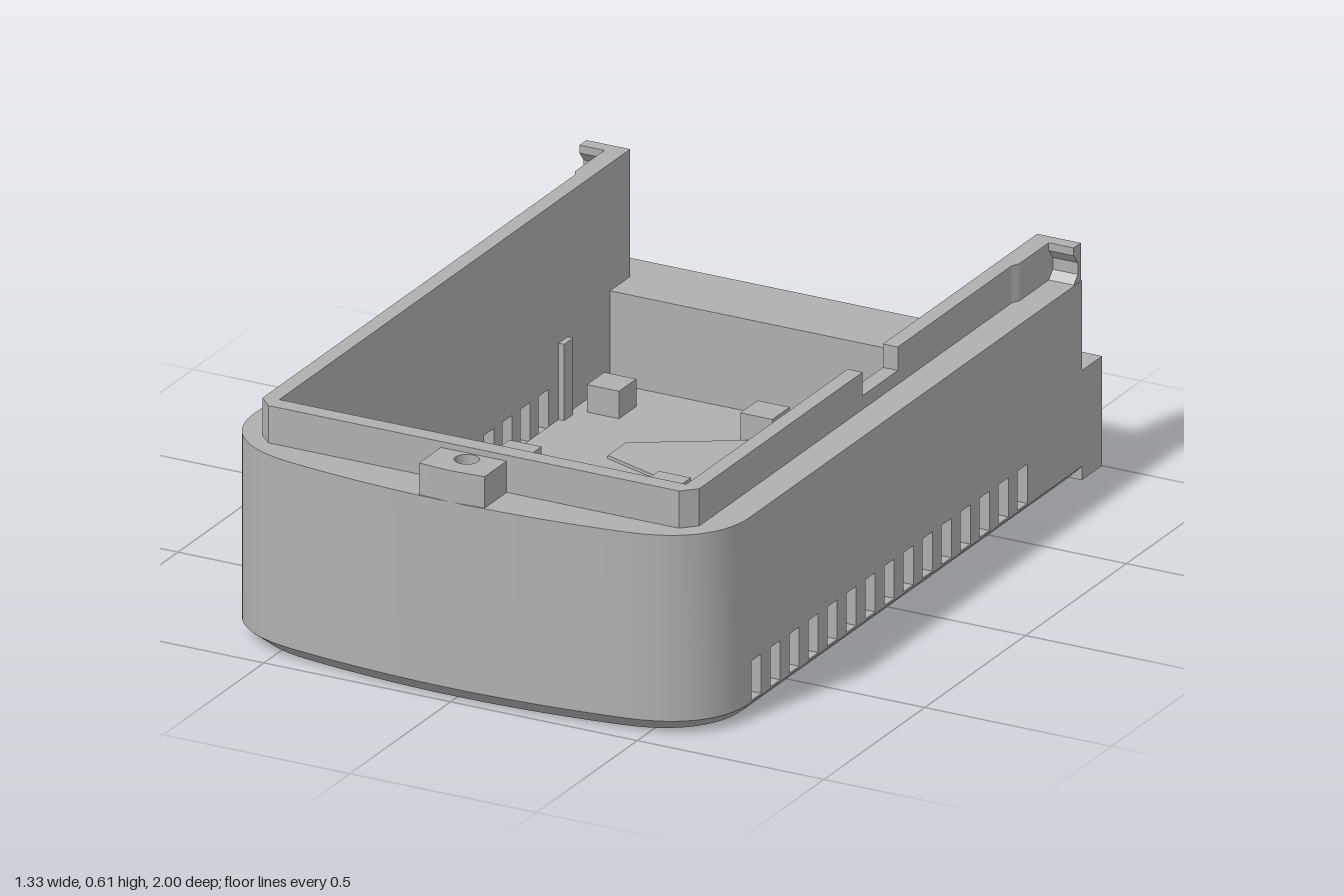
import * as THREE from 'three';
import { toCreasedNormals } from 'three/addons/utils/BufferGeometryUtils.js';

export function createModel() {
  const model = new THREE.Group();
  model.name = 'enclosureBase';
  const grey = new THREE.MeshStandardMaterial({ color: 0xb0b0b0 });
  grey.name = 'plainGrey';

  const add = (name, geo) => {
    const mesh = new THREE.Mesh(geo, grey);
    mesh.name = name;
    model.add(mesh);
    return mesh;
  };
  const box = (name, x0, x1, y0, y1, z0, z1) => {
    const g = new THREE.BoxGeometry(x1 - x0, y1 - y0, z1 - z0);
    return add(name, g.translate((x0 + x1) / 2, (y0 + y1) / 2, (z0 + z1) / 2));
  };
  const poly = (pts) => new THREE.Shape(pts.map(([a, b]) => new THREE.Vector2(a, b)));
  const circle = (x, y, r) => new THREE.Path().absarc(x, y, r, 0, Math.PI * 2);
  const extrude = (shape, depth) =>
    new THREE.ExtrudeGeometry(shape, { depth, bevelEnabled: false, curveSegments: 20 });
  // plan shapes use (x, -z) and rise from y0 to y1
  const prism = (shape, y0, y1) => extrude(shape, y1 - y0).rotateX(-Math.PI / 2).translate(0, y0, 0);
  const plan = (pts) => poly(pts.map(([x, z]) => [x, -z]));
  // profiles use (z, y) and run from x0 to x1
  const sideways = (shape, x0, x1) => extrude(shape, x1 - x0).rotateY(-Math.PI / 2).translate(x1, 0, 0);

  const W = 0.665, IN = 0.545, FLOOR = 0.045, SHELF = 0.51, TOP = 0.605, CH = 0.035, BEND = 0.745;

  // rounded front, drawn from the +x side to the -x side
  const frontCurve = (s) => {
    s.bezierCurveTo(W, -0.87, 0.58, -0.945, 0.45, -0.965);
    s.quadraticCurveTo(0, -1.035, -0.45, -0.965);
    s.bezierCurveTo(-0.58, -0.945, -W, -0.87, -W, -BEND);
  };

  // bottom plate with chamfered rim
  const plate = new THREE.Shape();
  plate.moveTo(W, 0.9);
  plate.lineTo(W, -BEND);
  frontCurve(plate);
  plate.lineTo(-W, 0.9);
  plate.closePath();
  const plateGeo = prism(plate, 0, CH);
  const p = plateGeo.attributes.position;
  for (let i = 0; i < p.count; i++) {
    if (p.getY(i) > CH / 2) continue;
    p.setX(i, p.getX(i) * (W - CH) / W);
    p.setZ(i, -0.9 + (p.getZ(i) + 0.9) * (1.9 - CH) / 1.9);
  }
  plateGeo.computeVertexNormals();
  add('bottomPlate', toCreasedNormals(plateGeo, 0.5));
  box('floor', -IN, IN, CH, FLOOR, -0.8, 0.84);

  // rounded front wall
  const front = new THREE.Shape();
  front.moveTo(W, -BEND);
  frontCurve(front);
  front.lineTo(-IN, -BEND);
  front.lineTo(-IN, -0.84);
  front.lineTo(IN, -0.84);
  front.lineTo(IN, -BEND);
  front.closePath();
  add('frontWall', toCreasedNormals(prism(front, CH, SHELF), 0.5));

  // side walls with ventilation slots
  const allSlots = Array.from({ length: 15 }, (_, i) => 0.715 - i * 0.0943);
  const slots = {
    '1': allSlots,
    '-1': [0.62, 0.53, 0.27, 0.18, -0.11, -0.2, -0.29, -0.38, -0.47],
  };
  for (const s of [1, -1]) {
    const side = s > 0 ? 'right' : 'left';
    const span = (a, b) => (s > 0 ? [a, b] : [-b, -a]);
    const wall = poly([[-0.8, CH], [BEND, CH], [BEND, SHELF], [-0.8, SHELF]]);
    for (const z of slots[s]) {
      wall.holes.push(poly([[z - 0.024, 0.04], [z - 0.024, 0.14], [z + 0.024, 0.14], [z + 0.024, 0.04]]));
    }
    add(side + 'SlottedWall', sideways(wall, ...span(IN, W)));

    // rear end of the wall with two screw holes
    box(side + 'RearWallFoot', ...span(IN, W), CH, 0.28, -0.9, -0.8);
    const [a, b] = span(IN, W);
    const end = poly([[a, 0.28], [b, 0.28], [b, SHELF], [a, SHELF]]);
    for (const y of [0.37, 0.465]) end.holes.push(circle(s * 0.602, y, 0.03));
    add(side + 'RearPost', toCreasedNormals(extrude(end, 0.1).translate(0, 0, -0.9), 0.5));

    // undercut catch on top of the rear post
    const catchProfile = poly([[-0.9, SHELF], [-0.9, TOP], [-0.865, TOP], [-0.865, 0.585],
      [-0.885, 0.56], [-0.885, 0.53], [-0.865, SHELF]]);
    add(side + 'RearCatch', sideways(catchProfile, ...span(0.595, 0.662)));
  }

  // low rear wall
  box('rearSill', -IN, IN, CH, 0.28, -0.9, -0.8);
  box('rearWall', -W, W, 0, 0.28, -1, -0.9);

  // raised lip, with a gap in its upper part on the +x side
  const outerSide = [[0.595, -0.9], [0.595, -0.72], [0.585, -0.7]];
  const corner = [[0.585, 0.85], [0.55, 0.885]];
  const flip = (pts) => pts.map(([x, z]) => [-x, z]).reverse();
  const inner = [[-IN, -0.9], [-IN, 0.84], [IN, 0.84]];
  add('lipLower', prism(plan([...outerSide, ...corner, ...flip(corner), ...flip(outerSide),
    ...inner, [IN, -0.9]]), SHELF, 0.545));
  add('lipUpper', prism(plan([[0.585, 0.04], ...corner, ...flip(corner), ...flip(outerSide),
    ...inner, [IN, 0.04]]), 0.545, TOP));
  add('lipUpperRear', prism(plan([...outerSide, [0.585, -0.135], [IN, -0.135], [IN, -0.9]]), 0.545, TOP));

  // front screw tab
  const tab = plan([[-0.088, 0.885], [0.088, 0.885], [0.088, 0.994], [0, 1], [-0.088, 0.994]]);
  tab.holes.push(circle(0, -0.92, 0.03));
  add('frontTab', toCreasedNormals(prism(tab, SHELF, 0.59), 0.5));

  // square support pegs
  const pegs = [[-0.465, -0.66], [-0.065, -0.68], [0.34, -0.67], [-0.465, -0.19], [-0.065, -0.19],
    [-0.465, 0.28], [-0.065, 0.28], [0.34, 0.28], [-0.465, 0.48], [-0.065, 0.48], [0.34, 0.48]];
  for (const [x, z] of pegs) box('supportPeg', x - 0.043, x + 0.043, FLOOR, 0.115, z - 0.043, z + 0.043);

  // irregular thickened pad on the floor
  add('floorPad', prism(plan([[-0.075, -0.635], [0.14, -0.52], [0.2, -0.36], [0.34, -0.29], [0.34, -0.2],
    [0.18, -0.1], [0.135, 0.01], [0.06, 0.11], [0.155, 0.05], [0.33, 0.17], [0.33, 0.3], [0.01, 0.49],
    [-0.18, 0.37], [-0.23, 0.23], [-0.34, 0.18], [-0.34, 0.01], [-0.22, -0.06], [-0.1, -0.2],
    [-0.16, -0.33], [-0.33, -0.39], [-0.33, -0.48]]), FLOOR, 0.053));

  // rib grid near the front
  for (const x of [-0.49, -0.34, -0.125, 0.055]) box('rib', x - 0.012, x + 0.012, FLOOR, 0.085, 0.53, 0.815);
  box('crossRib', -0.49, 0.055, FLOOR, 0.084, 0.65, 0.675);

  // round screw boss
  const boss = new THREE.Shape().absarc(0.395, -0.72, 0.077, 0, Math.PI * 2);
  boss.holes.push(circle(0.395, -0.72, 0.03));
  add('screwBoss', toCreasedNormals(prism(boss, FLOOR, 0.15), 0.5));

  // upright guides along the walls
  box('frontGuide', 0.185, 0.227, FLOOR, 0.25, 0.8, 0.84);
  box('leftGuide', -IN, -0.53, FLOOR, 0.24, -0.59, -0.545);
  box('leftGuide', -IN, -0.53, FLOOR, 0.24, 0.085, 0.125);
  return model;
}
